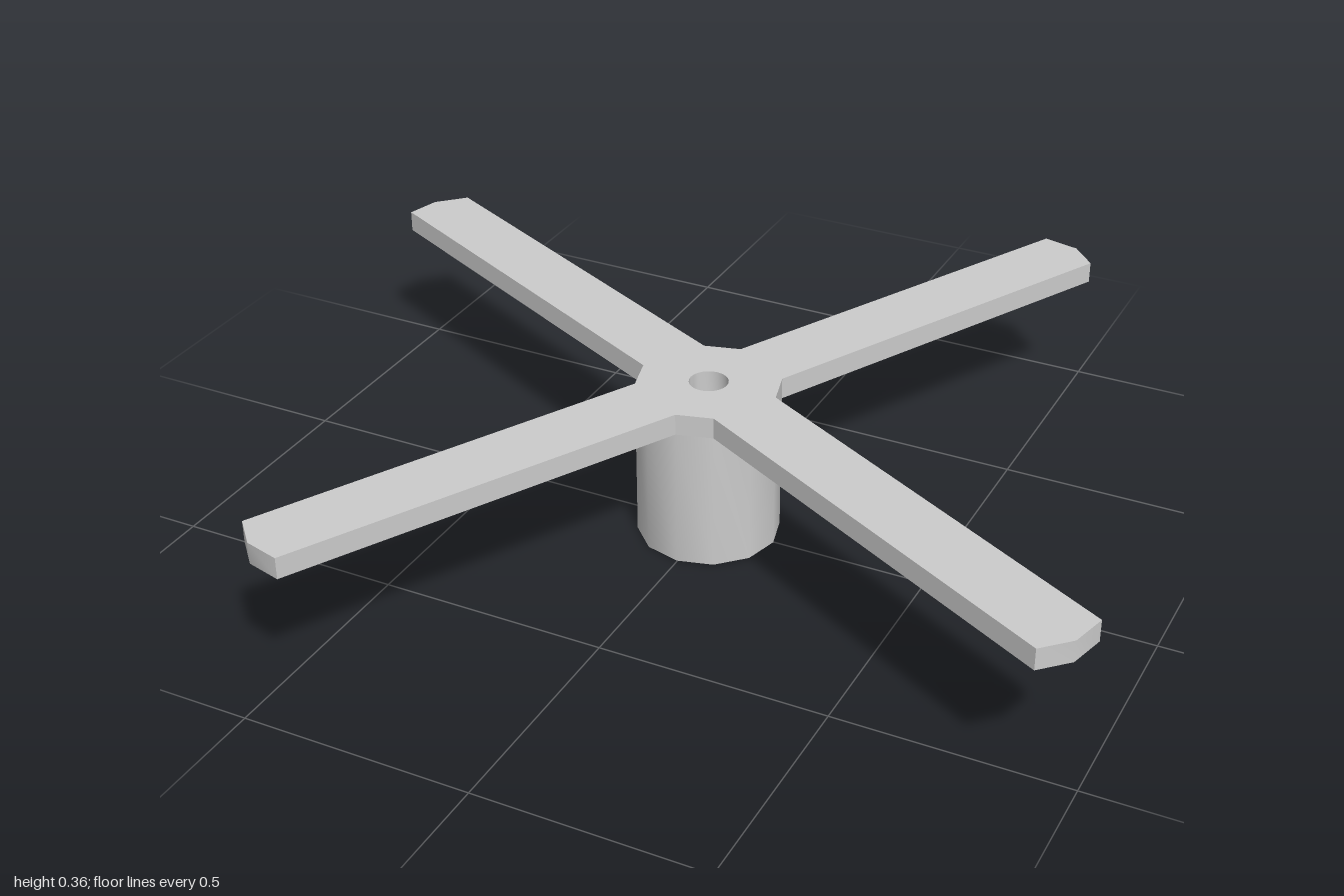
import * as THREE from 'three';
import { toCreasedNormals } from 'three/addons/utils/BufferGeometryUtils.js';

const CX = -0.002, CZ = 0.001;   // hub axis
const HUB_R = 0.154, BORE_R = 0.042;
const HUB_TOP = 0.311, PLATE_TOP = 0.358;

// Point on the 12-sided hub outline
function hubPoint(i) {
  const a = i * Math.PI / 6;
  return new THREE.Vector2(CX + HUB_R * Math.cos(a), CZ + HUB_R * Math.sin(a));
}

// Extrude an x/z outline, pierced by the bore, between two heights
function slab(outline, bottom, top) {
  const shape = new THREE.Shape(outline);
  shape.holes.push(new THREE.Path().absarc(CX, CZ, BORE_R, 0, Math.PI * 2, true));
  const geo = new THREE.ExtrudeGeometry(shape, {
    depth: top - bottom, bevelEnabled: false, curveSegments: 12,
  });
  geo.rotateX(Math.PI / 2).translate(0, top, 0);
  return toCreasedNormals(geo, 0.56);
}

export function createModel() {
  const group = new THREE.Group();
  const material = new THREE.MeshStandardMaterial({ color: 0xcccccc });

  // Hub with a bore along its axis
  const hubOutline = Array.from({ length: 12 }, (_, i) => hubPoint(i));
  const hub = new THREE.Mesh(slab(hubOutline, 0, HUB_TOP), material);
  hub.name = 'hub';

  // Clipped tips of the four arms (x, z), each arm rooted on hub corners 3i to 3i + 2
  const tips = [
    [[1, 0.458], [0.979, 0.537], [0.924, 0.591]],
    [[-0.427, 0.945], [-0.503, 0.925], [-0.556, 0.869]],
    [[-1, -0.415], [-0.979, -0.489], [-0.922, -0.545]],
    [[0.407, -0.951], [0.487, -0.932], [0.54, -0.874]],
  ];
  const plateOutline = tips.flatMap((tip, i) => [
    hubPoint(3 * i),
    ...tip.map(([x, z]) => new THREE.Vector2(x, z)),
    hubPoint(3 * i + 2),
  ]);
  const arms = new THREE.Mesh(slab(plateOutline, HUB_TOP, PLATE_TOP), material);
  arms.name = 'crossArms';

  group.add(hub, arms);
  return group;
}
